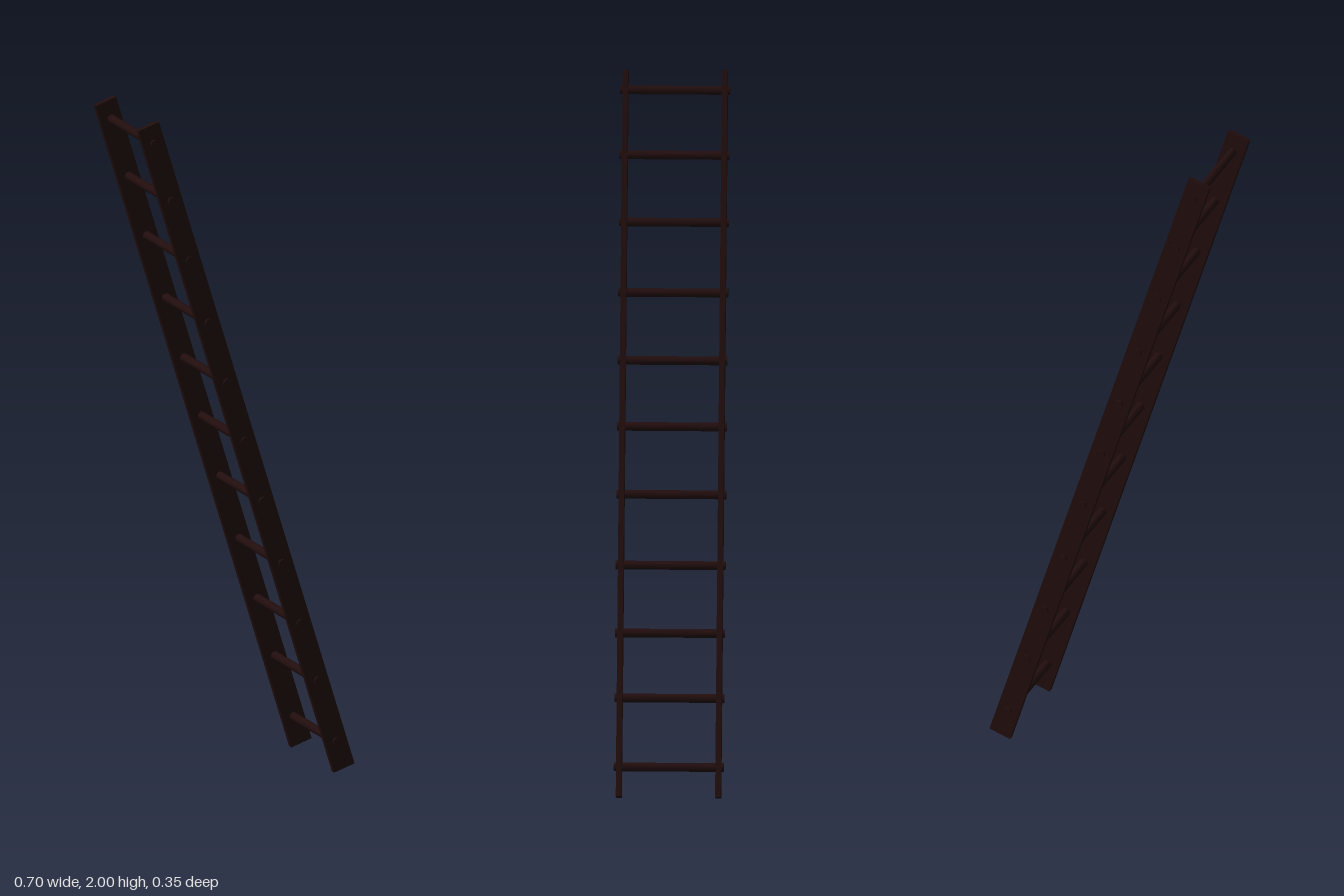
import * as THREE from 'three';

export function createModel() {
  const model = new THREE.Group();
  model.name = 'ladder';

  const wood = new THREE.MeshStandardMaterial({ color: 0x220d0d });
  wood.name = 'dark wood';

  const lean = 0.302, turn = -0.06;
  const railLength = 2.074, railWidth = 0.067, railThickness = 0.016;

  // Everything is built upright, then leaned towards -x and turned slightly
  const turned = new THREE.Group();
  turned.name = 'turnedLadder';
  turned.rotation.y = turn;
  turned.position.y = 1;
  const leaned = new THREE.Group();
  leaned.name = 'leaningLadder';
  leaned.rotation.z = lean;
  turned.add(leaned);
  model.add(turned);

  // Two side rails
  const railGeometry = new THREE.BoxGeometry(railWidth, railLength, railThickness);
  for (const side of [-1, 1]) {
    const rail = new THREE.Mesh(railGeometry, wood);
    rail.name = side > 0 ? 'frontRail' : 'backRail';
    rail.position.z = side * 0.1415;
    leaned.add(rail);
  }

  // Round rungs at slightly uneven heights, their ends poking through the rails
  const rungGeometry = new THREE.CylinderGeometry(0.0125, 0.0125, 0.313, 12);
  rungGeometry.rotateX(Math.PI / 2);
  const heights = [0.092, 0.28, 0.457, 0.642, 0.835, 1.02, 1.2, 1.385, 1.577, 1.76, 1.937];
  heights.forEach((height, i) => {
    const rung = new THREE.Mesh(rungGeometry, wood);
    rung.name = 'rung' + (i + 1);
    rung.position.y = (height - 1) / Math.cos(lean);
    leaned.add(rung);
  });

  return model;
}
